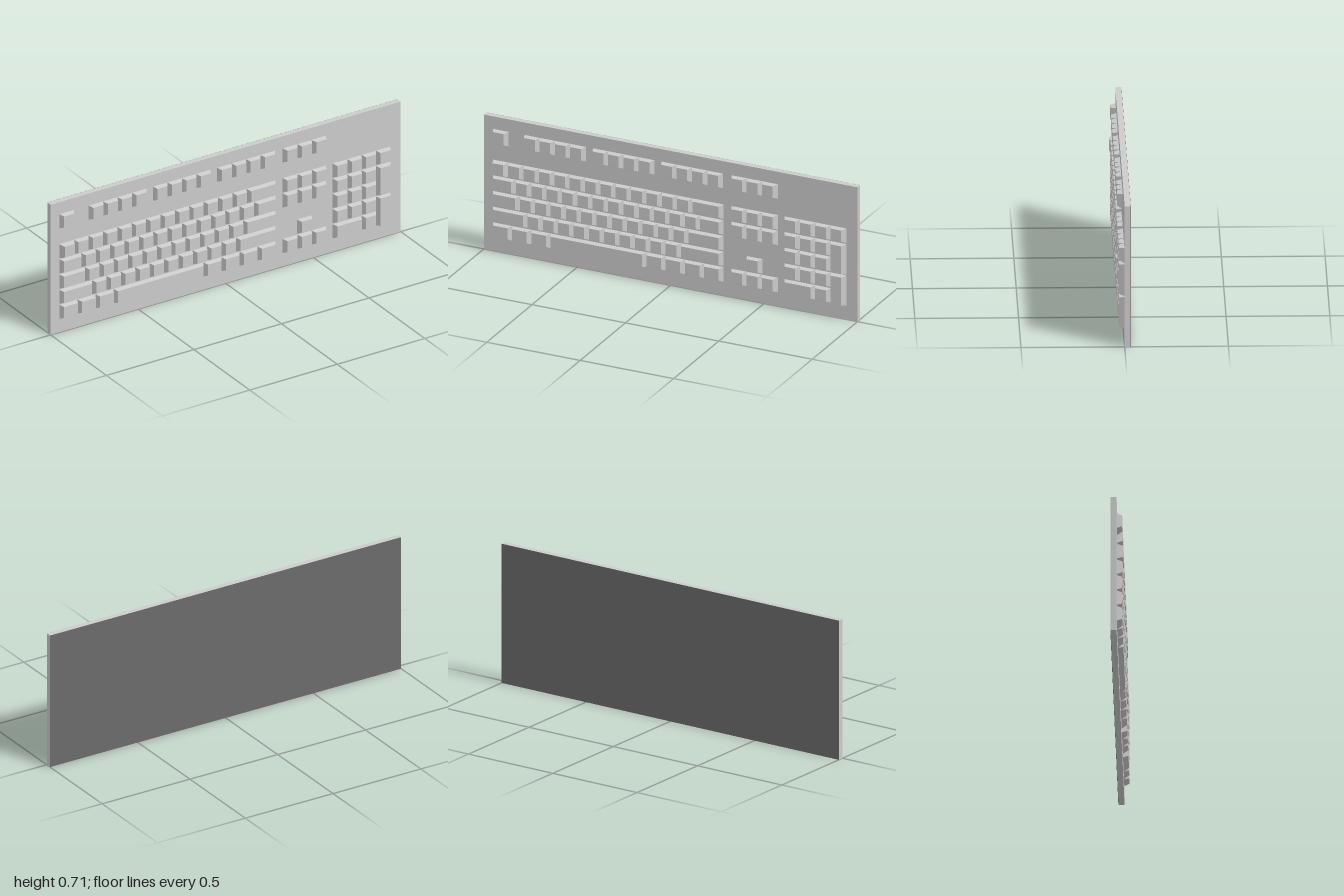
import * as THREE from 'three';

const U = 0.0822;          // key pitch across
const ROW = 0.0825;        // key pitch upward
const TOP = 0.48;          // upper edge of the main key rows
const material = new THREE.MeshStandardMaterial({ color: 0xcccccc, flatShading: true });
const darkMaterial = new THREE.MeshStandardMaterial({ color: 0x6c6c6c, flatShading: true });

// Tapered keycap: a box whose front face is drawn in, less at the top than elsewhere.
// Feet meet sideways and leave a narrow channel between rows.
function keycap(x, yTop, units, { rows = 1, depth = 0.026, bottomInset = 0.014 } = {}) {
  const x1 = x + units * U + 0.003;
  const y0 = yTop - rows * ROW + 0.0045;
  const geo = new THREE.BoxGeometry(1, 1, 1);
  const p = geo.attributes.position;
  for (let i = 0; i < p.count; i++) {
    const front = p.getZ(i) > 0 ? 1 : 0;
    p.setXYZ(i,
      p.getX(i) > 0 ? x1 - 0.016 * front : x + 0.012 * front,
      p.getY(i) > 0 ? yTop - 0.005 * front : y0 + bottomInset * front,
      front ? depth : -0.002);
  }
  geo.computeVertexNormals();
  const mesh = new THREE.Mesh(geo, material);
  mesh.name = 'key';
  return mesh;
}

// Lay keys of the given unit widths side by side; the longest bar has a steeper lower side
function keyRow(group, x, yTop, widths) {
  for (const w of widths) {
    group.add(keycap(x, yTop, w, { bottomInset: w > 3 ? 0.008 : 0.014 }));
    x += w * U;
  }
}

const ones = (n) => Array(n).fill(1);
const rowTop = (r) => TOP - r * ROW;

export function createModel() {
  const model = new THREE.Group();
  model.name = 'keyboard';
  const section = (name) => {
    const g = new THREE.Group();
    g.name = name;
    model.add(g);
    return g;
  };

  // Flat base plate with a dark back panel
  const slab = (name, depth, z, mat) => {
    const mesh = new THREE.Mesh(new THREE.BoxGeometry(2, 0.707, depth), mat);
    mesh.position.set(0, 0.3535, z);
    mesh.name = name;
    model.add(mesh);
  };
  slab('basePlate', 0.029, -0.0145, material);
  slab('backPanel', 0.001, -0.0295, darkMaterial);

  // Top row: escape, three groups of four, one group of three
  const topRowKeys = section('topRowKeys');
  [[-0.951, 1], [-0.784, 4], [-0.417, 4], [-0.05, 4], [0.325, 3]].forEach(([x, n]) =>
    keyRow(topRowKeys, x, 0.642, ones(n)));

  // Main typing block, 15 units wide; its first key stands slightly taller
  const mainKeys = section('mainKeys');
  const mainX = -0.951;
  mainKeys.add(keycap(mainX, rowTop(0), 1, { depth: 0.031 }));
  keyRow(mainKeys, mainX + U, rowTop(0), [...ones(12), 2]);
  [
    [1.5, ...ones(12), 1.5],
    [1.75, ...ones(11), 2.25],
    [2.25, ...ones(10), 2.75],
    [1.25, 1.25, 1.25, 6.25, 1.25, 1.25, 1.25, 1.25],
  ].forEach((widths, i) => keyRow(mainKeys, mainX, rowTop(i + 1), widths));

  // Navigation block
  const navX = 0.325;
  const navigationKeys = section('navigationKeys');
  for (const r of [0, 1]) keyRow(navigationKeys, navX, rowTop(r), ones(3));

  // Arrow keys
  const arrowKeys = section('arrowKeys');
  keyRow(arrowKeys, navX + U, rowTop(3), [1]);
  keyRow(arrowKeys, navX, rowTop(4), ones(3));

  // Number pad with two double-height keys on its outer edge
  const padX = 0.61;
  const numberPad = section('numberPad');
  [ones(4), ones(3), ones(3), ones(3), [2, 1]].forEach((widths, r) =>
    keyRow(numberPad, padX, rowTop(r), widths));
  for (const r of [1, 3]) {
    numberPad.add(keycap(padX + 3 * U, rowTop(r), 1, { rows: 2, bottomInset: 0.008 }));
  }

  return model;
}
